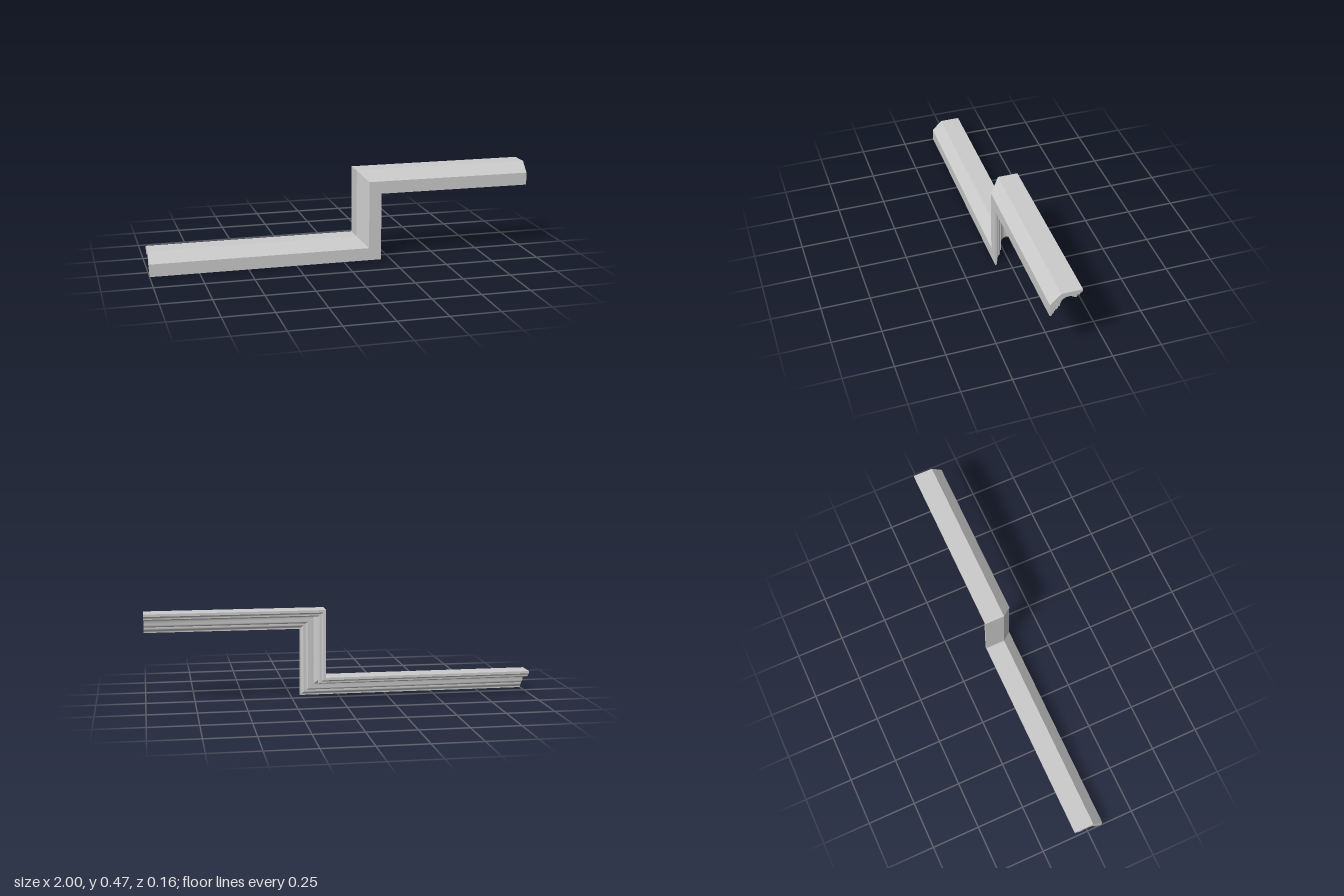
import * as THREE from 'three';
import { toCreasedNormals } from 'three/addons/utils/BufferGeometryUtils.js';

// Moulding cross-section: x = depth (towards the front), y = height of the strip
function mouldingProfile() {
  const s = new THREE.Shape();
  s.moveTo(0.078, 0);
  s.lineTo(0.078, 0.065);
  s.lineTo(0.025, 0.118); // chamfer
  s.lineTo(-0.078, 0.118);
  s.lineTo(-0.078, 0.105);
  s.quadraticCurveTo(-0.065, 0.104, -0.063, 0.092); // back cove
  s.lineTo(-0.053, 0.092);
  s.lineTo(-0.053, 0.087);
  s.bezierCurveTo(-0.049, 0.080, -0.043, 0.079, -0.036, 0.084); // ogee
  s.bezierCurveTo(-0.028, 0.091, -0.019, 0.094, -0.009, 0.094);
  s.bezierCurveTo(0.012, 0.094, 0.030, 0.077, 0.031, 0.049); // main hollow
  s.lineTo(0.038, 0.049);
  s.bezierCurveTo(0.038, 0.035, 0.044, 0.032, 0.053, 0.031); // small coves
  s.lineTo(0.053, 0.025);
  s.lineTo(0.057, 0.025);
  s.bezierCurveTo(0.057, 0.014, 0.064, 0.014, 0.067, 0.006);
  s.lineTo(0.067, 0);
  return s.getPoints(10).filter((p, i, a) => i === 0 || p.distanceTo(a[i - 1]) > 1e-5);
}

export function createModel() {
  const group = new THREE.Group();
  const pts = mouldingProfile();
  if (pts[0].distanceTo(pts[pts.length - 1]) < 1e-5) pts.pop();
  const n = pts.length;
  const RISE = 0.352, POST = 0.2;

  // Section lines: left end, two mitred corners, right end
  const sections = [
    (h) => [-1, h],
    (h) => [POST - h, h],
    (h) => [POST - h, RISE + h],
    (h) => [1, RISE + h],
  ];

  // Built at 100x so that creasing resolves the fine steps, then scaled back
  const K = 100;
  const positions = [];
  for (const section of sections) {
    for (const p of pts) {
      const [x, y] = section(p.y);
      positions.push(x * K, y * K, p.x * K);
    }
  }

  // Side walls between neighbouring sections
  const index = [];
  for (let k = 0; k < sections.length - 1; k++) {
    for (let i = 0; i < n; i++) {
      const j = (i + 1) % n, a = k * n, b = a + n;
      index.push(a + i, b + j, a + j, a + i, b + i, b + j);
    }
  }

  // End caps
  const last = (sections.length - 1) * n;
  for (const [a, b, c] of THREE.ShapeUtils.triangulateShape(pts, [])) {
    index.push(a, b, c, last + a, last + c, last + b);
  }

  const indexed = new THREE.BufferGeometry();
  indexed.setAttribute('position', new THREE.Float32BufferAttribute(positions, 3));
  indexed.setIndex(index);
  const geometry = toCreasedNormals(indexed, 0.5);
  geometry.scale(1 / K, 1 / K, 1 / K);

  const moulding = new THREE.Mesh(geometry, new THREE.MeshStandardMaterial({ color: 0xcccccc }));
  moulding.name = 'steppedMoulding';
  group.add(moulding);
  return group;
}
